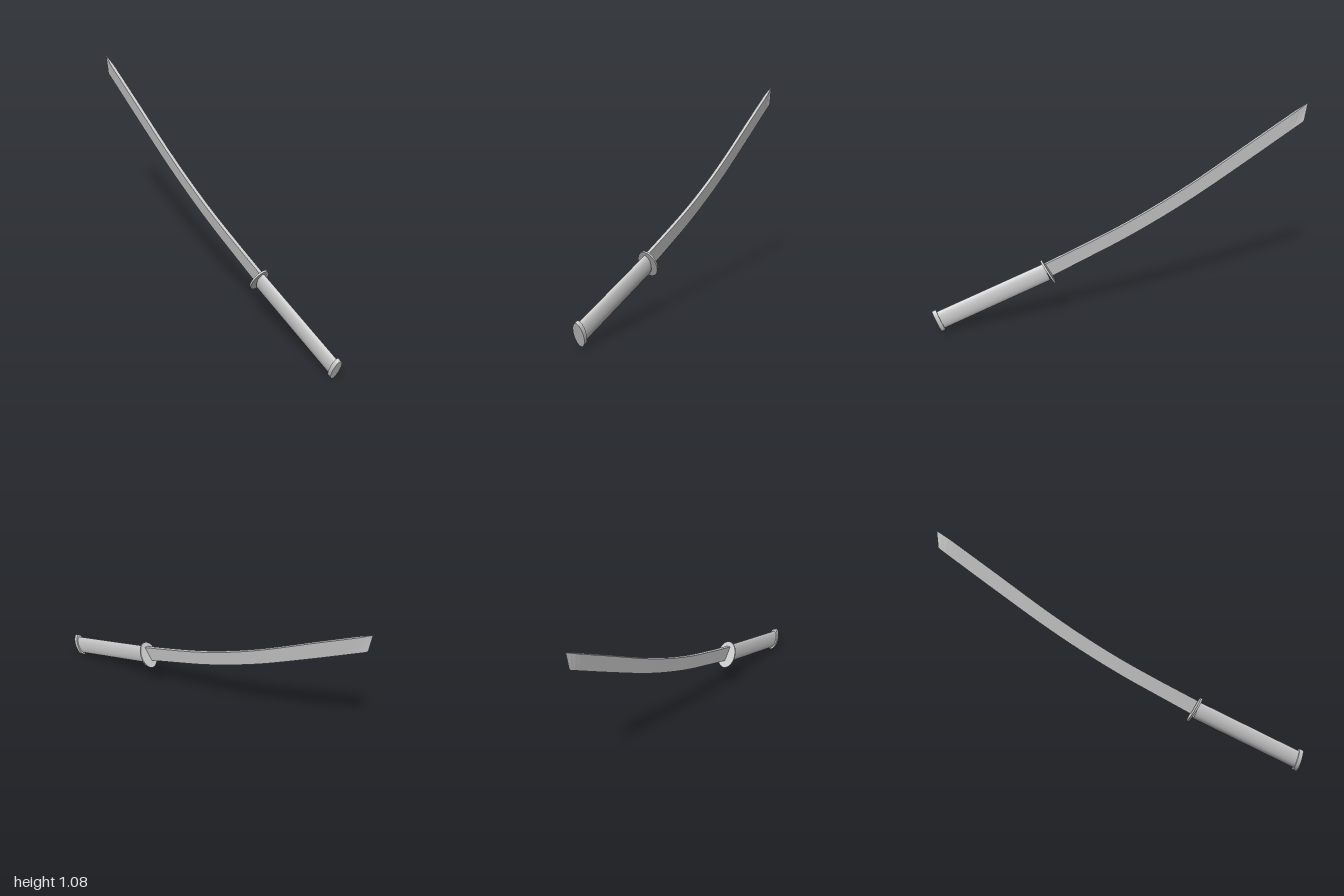
import * as THREE from 'three';

const material = new THREE.MeshStandardMaterial({ color: 0xcccccc, side: THREE.DoubleSide });

// Oval disc or bar: axis points back (-z), raised by the pitch in degrees
function ovalPart(name, halfWidth, halfHeight, length, y, z, pitch) {
  const geometry = new THREE.CylinderGeometry(1, 1, length, 40);
  geometry.scale(halfWidth, 1, halfHeight);
  const mesh = new THREE.Mesh(geometry, material);
  mesh.name = name;
  mesh.position.set(0, y, z);
  mesh.rotation.x = THREE.MathUtils.degToRad(pitch - 90);
  return mesh;
}

// Curve through [z, y] points in the plane of the sword
const edgeCurve = (points) => new THREE.CatmullRomCurve3(
  points.map(([z, y]) => new THREE.Vector3(0, y, z)));

// Wedge-shaped blade: flat spine on top, sharp edge below, pinched at the tip
function makeBlade() {
  const spine = edgeCurve([[0.41, 0.324], [0.2, 0.41], [0, 0.497], [-0.2, 0.597],
    [-0.4, 0.71], [-0.7, 0.897], [-1, 1.083]]);
  const edge = edgeCurve([[0.37, 0.251], [0.18, 0.333], [0, 0.412], [-0.2, 0.511],
    [-0.4, 0.621], [-0.68, 0.792], [-0.974, 0.977]]);
  const steps = 48;
  const sections = [];
  for (let i = 0; i <= steps; i++) {
    const t = i / steps;
    const half = 0.0095 * Math.min(1, 0.1 + (1 - t) / 0.055);
    const shift = -0.002 - 0.005 * t;
    const s = spine.getPointAt(t), e = edge.getPointAt(t);
    sections.push([[shift + half, s.y, s.z], [shift - half, s.y, s.z], [shift, e.y, e.z]]);
  }
  // Slightly rounded lower corner of the tip
  const last = sections[steps];
  const corner = [last[2][0], 0.988, -0.985];

  const positions = [];
  const triangle = (a, b, c) => positions.push(...a, ...b, ...c);
  for (let i = 0; i < steps; i++) {
    const p = sections[i], q = sections[i + 1];
    for (let k = 0; k < 3; k++) {
      const n = (k + 1) % 3;
      triangle(p[k], q[k], q[n]);
      triangle(p[k], q[n], p[n]);
    }
  }
  triangle(sections[0][0], sections[0][1], sections[0][2]);
  triangle(last[0], corner, last[2]);
  triangle(last[1], last[2], corner);
  triangle(last[0], last[1], corner);

  const geometry = new THREE.BufferGeometry();
  geometry.setAttribute('position', new THREE.Float32BufferAttribute(positions, 3));
  geometry.computeVertexNormals();
  const blade = new THREE.Mesh(geometry, material);
  blade.name = 'blade';
  return blade;
}

export function createModel() {
  const sword = new THREE.Group();
  sword.name = 'curvedSword';
  sword.add(
    makeBlade(),
    ovalPart('guard', 0.05, 0.074, 0.01, 0.278, 0.394, 29),
    ovalPart('handle', 0.02, 0.051, 0.595, 0.173, 0.681, 20.4),
    ovalPart('pommel', 0.027, 0.063, 0.022, 0.067, 0.968, 20.4),
  );
  return sword;
}
